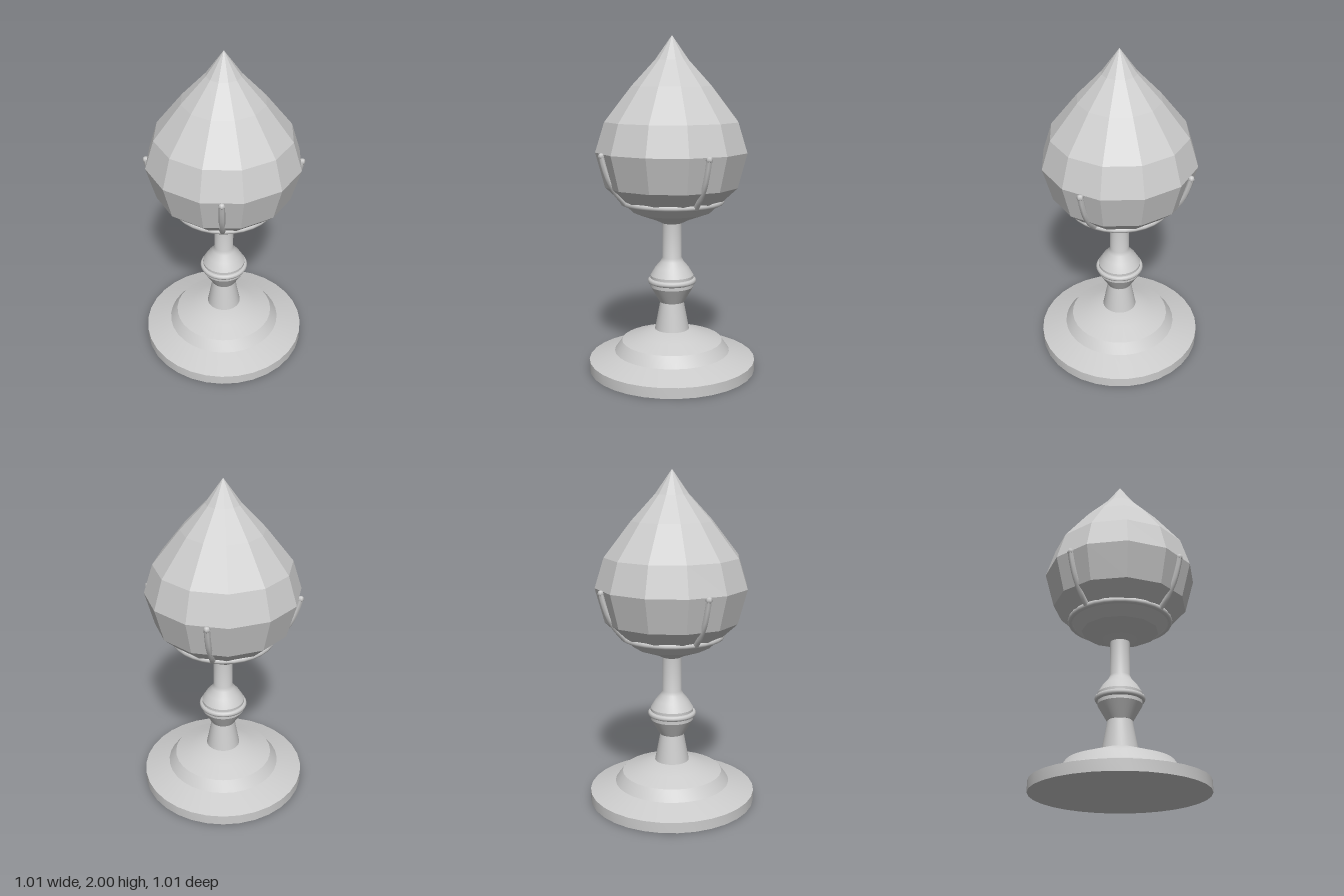
import * as THREE from 'three';
import { toCreasedNormals } from 'three/addons/utils/BufferGeometryUtils.js';

export function createModel() {
  const group = new THREE.Group();
  const grey = new THREE.MeshStandardMaterial({ color: 0xcccccc });
  grey.name = 'pale grey';
  const facetedGrey = grey;

  const add = (name, geometry, parent = group) => {
    const mesh = new THREE.Mesh(geometry, grey);
    mesh.name = name;
    parent.add(mesh);
    return mesh;
  };
  // Turned part from [radius, height] pairs, listed bottom to top
  const turned = (points, sides) =>
    new THREE.LatheGeometry(points.map(([r, y]) => new THREE.Vector2(r, y)), sides);
  const smoothTurned = (points) => toCreasedNormals(turned(points, 32), 0.5);

  // Foot: flat disc with a swelling dome
  add('foot', smoothTurned([[0, 0], [0.505, 0], [0.505, 0.063], [0.35, 0.112],
    [0.305, 0.175], [0.2, 0.212], [0.105, 0.245], [0, 0.245]]));

  // Stem: tapered neck, double-cone knop and slim shaft
  add('stem', smoothTurned([[0.105, 0.24], [0.072, 0.415], [0.075, 0.415], [0.13, 0.51],
    [0.13, 0.58], [0.1, 0.63], [0.068, 0.668], [0.058, 0.69], [0.058, 0.91]]));

  // Thin collar around the knop
  const collar = add('knopRing', new THREE.TorusGeometry(0.13, 0.017, 8, 32));
  collar.rotation.x = Math.PI / 2;
  collar.position.y = 0.547;

  // Faceted bud with a pointed top
  add('bud', toCreasedNormals(turned([[0, 0.9], [0.06, 0.9], [0.105, 0.922], [0.23, 0.967],
    [0.4, 1.125], [0.455, 1.33], [0.4, 1.505], [0.24, 1.71], [0.1, 1.86], [0, 2]], 12), 0.01));

  // Setting ring under the bud
  const ring = add('settingRing', new THREE.TorusGeometry(0.295, 0.018, 8, 32));
  ring.rotation.x = Math.PI / 2;
  ring.position.y = 1.033;

  // Four claws on the diagonals, each a bent tapering rod with a pointed tip
  const path = new THREE.CatmullRomCurve3([[0.3, 1.035], [0.35, 1.09], [0.4, 1.17],
    [0.43, 1.25], [0.447, 1.315]].map(([x, y]) => new THREE.Vector3(x, y, 0)));
  const rod = new THREE.TubeGeometry(path, 8, 0.018, 6);
  const tip = new THREE.SphereGeometry(0.02, 6, 4);
  for (let i = 0; i < 4; i++) {
    const claw = new THREE.Group();
    claw.name = 'claw' + (i + 1);
    claw.rotation.y = Math.PI / 4 + i * Math.PI / 2;
    add('clawRod', rod, claw);
    const end = add('clawTip', tip, claw);
    end.position.set(0.448, 1.318, 0);
    group.add(claw);
  }
  return group;
}
